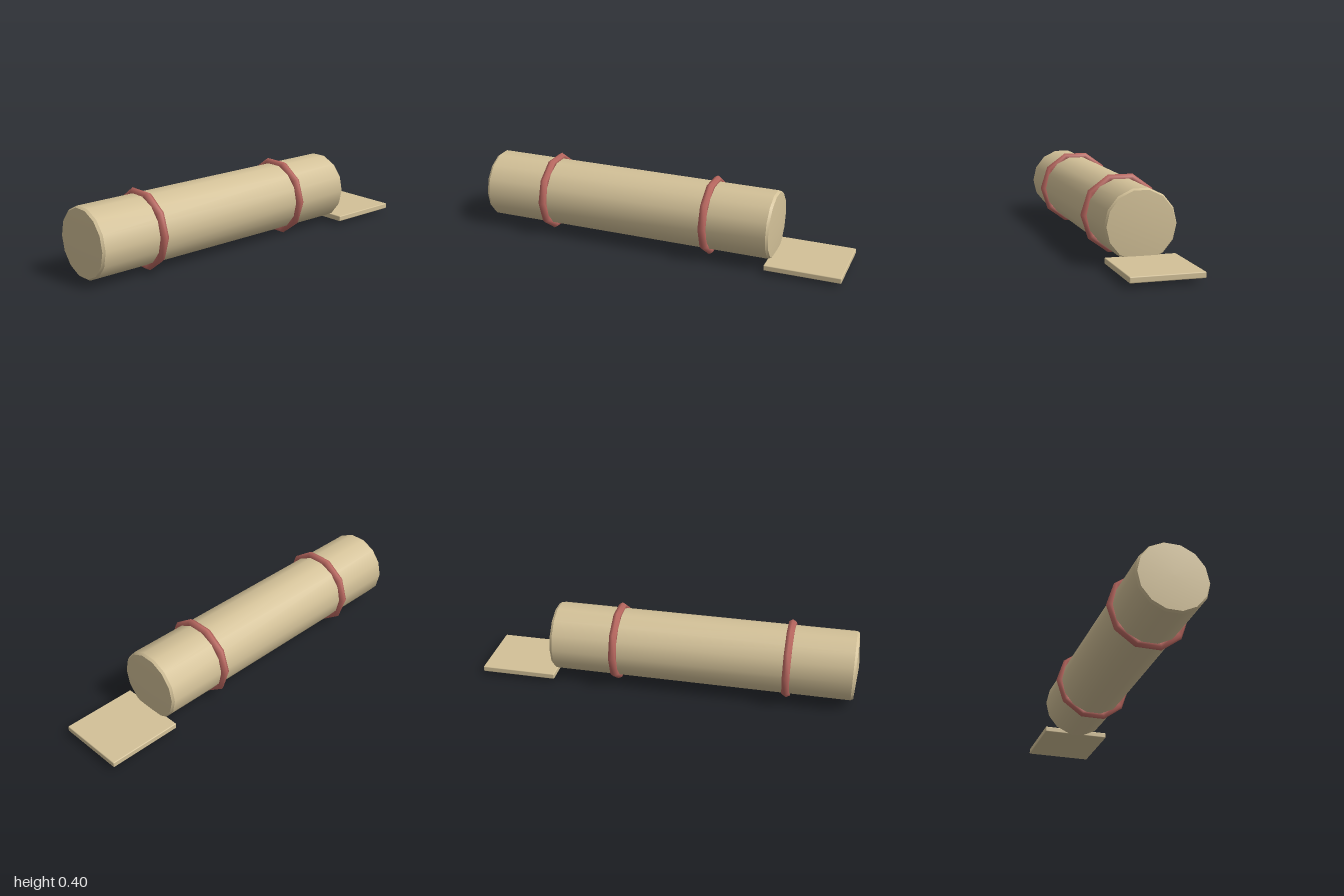
import * as THREE from 'three';
import { toCreasedNormals } from 'three/addons/utils/BufferGeometryUtils.js';
import { RoundedBoxGeometry } from 'three/addons/geometries/RoundedBoxGeometry.js';

export function createModel() {
  const model = new THREE.Group();
  model.name = 'bandedRoll';
  const tan = new THREE.MeshStandardMaterial({ color: 0xd3c198 });
  tan.name = 'tan';
  const red = new THREE.MeshStandardMaterial({ color: 0xba6860 });
  red.name = 'dustyRed';

  const add = (name, geometry, material, x, y) => {
    const mesh = new THREE.Mesh(geometry, material);
    mesh.name = name;
    mesh.position.set(x, y, 0);
    model.add(mesh);
  };

  // Fourteen-sided roll along x, with chamfered rims and slightly domed ends
  const profile = [
    [0, -1], [0.174, -0.987], [0.182, -0.974],
    [0.182, 0.603], [0.174, 0.616], [0, 0.629],
  ].map(([r, t]) => new THREE.Vector2(r, t));
  const roll = new THREE.LatheGeometry(profile, 14).rotateZ(-Math.PI / 2);
  add('roll', toCreasedNormals(roll, 0.5), tan, 0, 0.2);

  // Ten-sided straps around the roll
  for (const [name, x] of [['rightStrap', -0.64], ['leftStrap', 0.27]]) {
    add(name, new THREE.TorusGeometry(0.188, 0.022, 6, 10).rotateY(Math.PI / 2), red, x, 0.2);
  }

  // Loose flap lying flat beyond the left end
  add('flap', new RoundedBoxGeometry(0.4, 0.03, 0.362, 2, 0.005), tan, 0.8, 0.037);

  return model;
}
